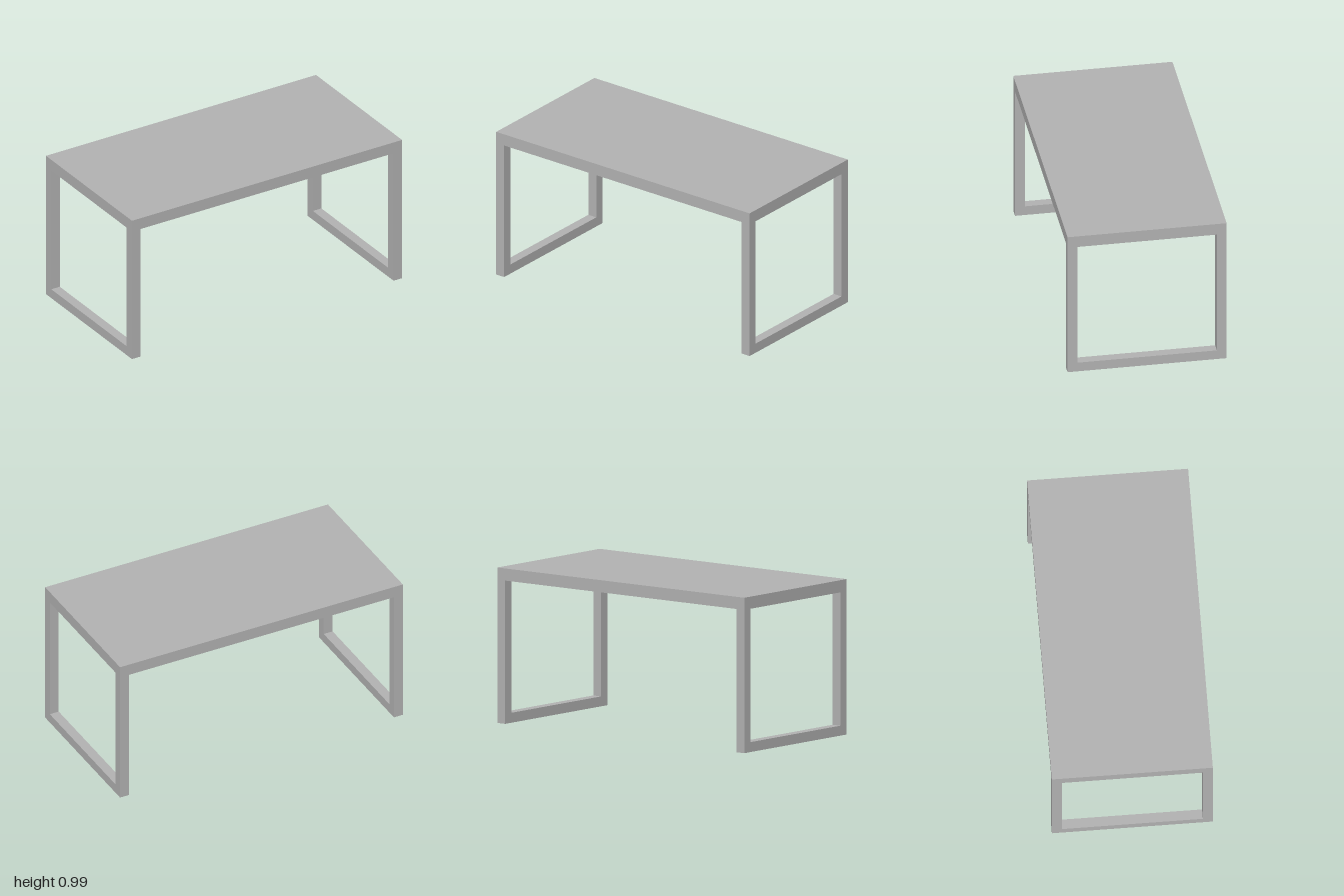
import * as THREE from 'three';

export function createModel() {
  const group = new THREE.Group();
  group.name = 'table';
  const grey = new THREE.MeshStandardMaterial({ color: 0xb3b3b3 });
  grey.name = 'grey';

  const height = 0.985, depth = 1.012, topThickness = 0.077, bar = 0.063;
  const underside = height - topThickness;

  function addBox(name, size, position, parent) {
    const mesh = new THREE.Mesh(new THREE.BoxGeometry(...size), grey);
    mesh.name = name;
    mesh.position.set(...position);
    parent.add(mesh);
  }

  // Table top
  addBox('tableTop', [2, topThickness, depth], [0, height - topThickness / 2, 0], group);

  // Square leg frame at each end: two posts joined by a floor rail
  for (const side of [1, -1]) {
    const frame = new THREE.Group();
    frame.name = side > 0 ? 'leftLegFrame' : 'rightLegFrame';
    frame.position.x = side * (1 - bar / 2);
    group.add(frame);
    for (const end of [1, -1]) {
      addBox(end > 0 ? 'frontLeg' : 'backLeg', [bar, underside, bar],
        [0, underside / 2, end * (depth - bar) / 2], frame);
    }
    addBox('floorRail', [bar, bar, depth - 2 * bar], [0, bar / 2, 0], frame);
  }
  return group;
}
